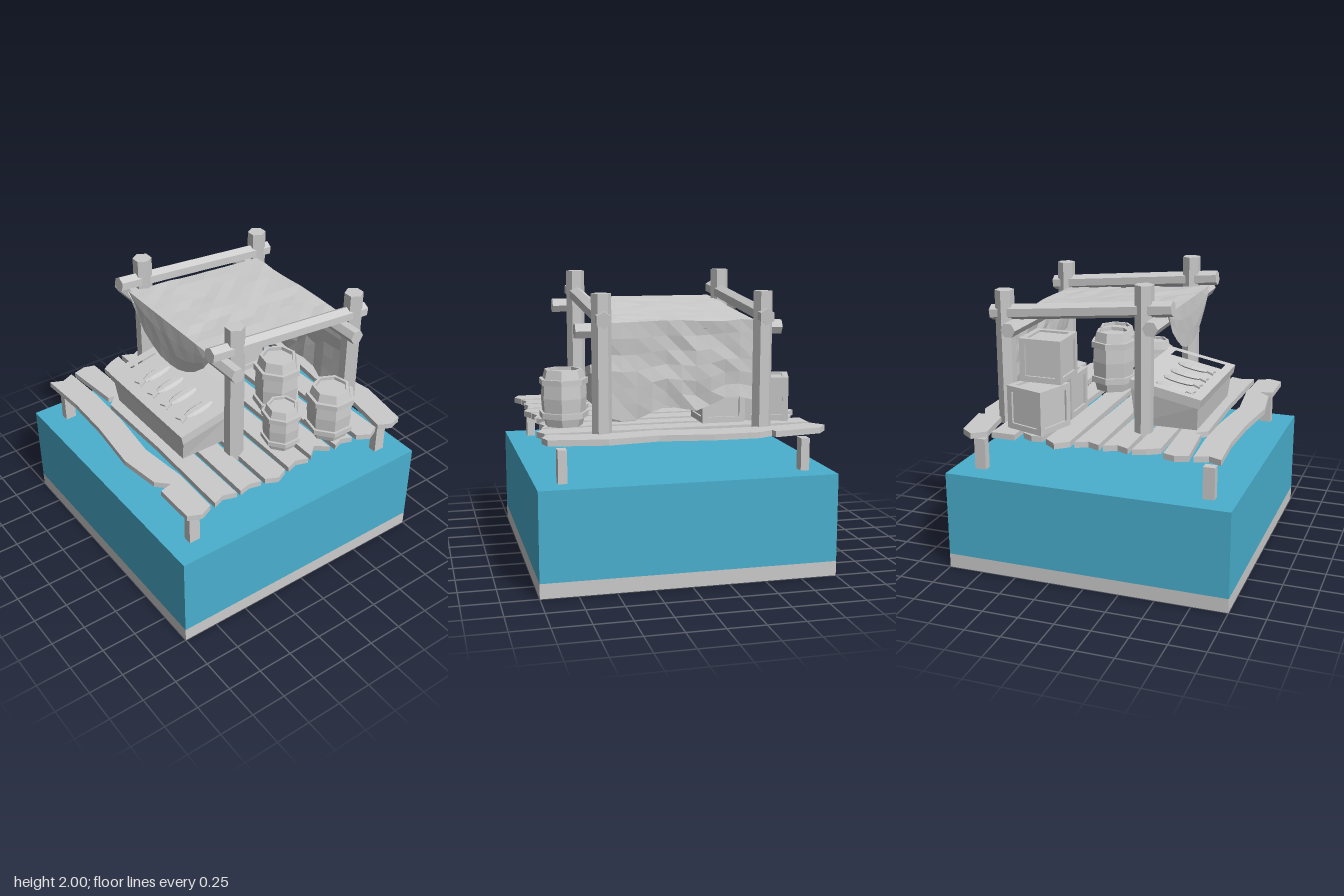
import * as THREE from 'three';

const grey = new THREE.MeshStandardMaterial({ color: 0xcccccc, flatShading: true });
const clothMat = new THREE.MeshStandardMaterial({ color: 0xcccccc, flatShading: true, side: THREE.DoubleSide });
const waterMat = new THREE.MeshStandardMaterial({ color: 0x4ab0cf });

function add(parent, name, geo, x = 0, y = 0, z = 0, mat = grey) {
  const m = new THREE.Mesh(geo, mat);
  m.name = name;
  m.position.set(x, y, z);
  parent.add(m);
  return m;
}

const box = (w, h, d) => new THREE.BoxGeometry(w, h, d);

// Flat slab from an outline of [x, z] points, resting on y = 0
function slab(points, depth, hole) {
  const toV = ([x, z]) => new THREE.Vector2(x, -z);
  const shape = new THREE.Shape(points.map(toV));
  if (hole) shape.holes.push(new THREE.Path(hole.map(toV)));
  return new THREE.ExtrudeGeometry(shape, { depth, bevelEnabled: false }).rotateX(-Math.PI / 2);
}

const rect = (w, d) => [[-w, -d], [w, -d], [w, d], [-w, d]];

// Repeatable jitter from -1 to 1
function jitter(i, j) {
  const s = Math.sin(i * 127.1 + j * 311.7) * 43758.5453;
  return 2 * (s - Math.floor(s)) - 1;
}

// Seven-sided barrel with two hoops and a sunken lid
function barrel(parent, x, z, r, h) {
  const g = new THREE.Group();
  g.name = 'barrel';
  g.position.set(x, 1, z);
  const lathe = (pts) => new THREE.LatheGeometry(
    pts.map(([a, b]) => new THREE.Vector2(a * r, b * h)), 7, -Math.PI / 2);
  add(g, 'barrelBody', lathe([[0, 0], [0.76, 0], [0.88, 0.2], [0.93, 0.5], [0.88, 0.8],
    [0.76, 1], [0.64, 1], [0.64, 0.94], [0, 0.94]]));
  for (const y of [0.15, 0.74]) {
    add(g, 'barrelHoop', lathe([[0.8, y], [1, y], [1, y + 0.1], [0.8, y + 0.1], [0.8, y]]));
  }
  parent.add(g);
}

// Crate: inset core inside twelve edge bars
function crate(parent, x, y, z, turn) {
  const g = new THREE.Group();
  g.name = 'crate';
  g.position.set(x, y + 0.15, z);
  g.rotation.y = turn;
  add(g, 'cratePanels', box(0.27, 0.27, 0.27));
  const t = 0.04, c = 0.13;
  for (const a of [-c, c]) for (const b of [-c, c]) {
    add(g, 'crateBar', box(0.3, t, t), 0, a, b);
    add(g, 'crateBar', box(t, 0.22, t), a, 0, b);
    add(g, 'crateBar', box(t, t, 0.22), a, b, 0);
  }
  parent.add(g);
}

function buildDeck(root) {
  const rough = [
    [[-0.9, -0.9], [-0.57, -0.955], [-0.56, -0.91], [-0.46, -0.96], [-0.15, -0.96], [0.2, -0.91], [0.54, -0.96],
      [0.92, -0.9], [0.945, -0.81], [0.9, -0.72], [0.55, -0.775], [0.2, -0.73], [-0.2, -0.775], [-0.58, -0.77],
      [-0.9, -0.72], [-0.97, -0.81]],
    [[-0.9, 0.52], [-0.2, 0.49], [0.2, 0.51], [0.9, 0.51], [0.87, 0.6], [0.9, 0.685], [0.2, 0.67], [-0.4, 0.68],
      [-0.47, 0.6], [-0.48, 0.65], [-0.9, 0.69], [-0.925, 0.6]],
    [[-0.9, 0.72], [-0.55, 0.7], [-0.2, 0.71], [0.18, 0.75], [0.54, 0.71], [0.9, 0.72], [0.94, 0.81], [0.9, 0.9],
      [0.6, 0.9], [0.58, 0.81], [0.5, 0.89], [0.2, 0.93], [-0.2, 0.89], [-0.55, 0.88], [-0.9, 0.9], [-0.86, 0.81]],
  ];
  rough.forEach((p) => add(root, 'plank', slab(p, 0.04), 0, 0.96, 0));
  // Straight planks: back z, front z, three x values for each end
  const straight = [
    [-0.69, -0.52, -0.9, -0.9, -0.9, 0.91, 0.95, 0.9],
    [-0.48, -0.33, -0.84, -0.88, -0.87, 0.9, 0.87, 0.9],
    [-0.29, -0.12, -0.9, -0.97, -0.9, 0.89, 0.82, 0.89],
    [-0.09, 0.08, -0.9, -0.86, -0.9, 0.9, 0.87, 0.9],
    [0.11, 0.28, -0.9, -0.86, -0.9, 0.9, 0.94, 0.9],
    [0.31, 0.48, -0.9, -0.87, -0.82, 0.9, 0.88, 0.9],
  ];
  for (const [a, b, l0, l1, l2, r0, r1, r2] of straight) {
    const m = (a + b) / 2;
    const p = [[l0, a], [0, a + 0.01], [r0, a], [r1, m], [r2, b], [0, b - 0.01], [l2, b], [l1, m]];
    add(root, 'plank', slab(p, 0.04), 0, 0.96, 0);
  }
  for (const x of [-0.82, 0.82]) for (const z of [-0.81, 0.81]) {
    add(root, 'pierLeg', box(0.06, 0.82, 0.08), x, 0.51, z);
  }
}

function buildFrame(root) {
  for (const x of [-0.545, 0.54]) {
    for (const [z, top] of [[0.27, 2], [-0.73, 1.9]]) {
      const h = top - 0.96;
      add(root, 'post', new THREE.CylinderGeometry(0.066, 0.066, h, 6).rotateY(Math.PI / 6), x, 0.96 + h / 2, z);
    }
    // Side rail sloping down to the back
    const rail = new THREE.CylinderGeometry(0.054, 0.054, 1.3, 6).rotateX(Math.PI / 2);
    add(root, 'sideRail', rail, x, 1.795, -0.18).rotation.x = -Math.atan2(0.12, 1.3);
  }
  for (const [y, z] of [[1.745, 0.36], [1.655, -0.64]]) {
    const beam = new THREE.CylinderGeometry(0.053, 0.053, 1.4, 6).rotateZ(Math.PI / 2);
    add(root, 'crossBeam', beam, 0, y, z);
  }
}

// Cloth: curved front flap, sloping roof and hanging back curtain in one sheet
function buildCloth(root) {
  const cols = 10, flap = 3, roof = 10, back = 6, rows = flap + roof + back;
  const geo = new THREE.PlaneGeometry(1, 1, cols, rows);
  const pos = geo.attributes.position;
  for (let i = 0; i < pos.count; i++) {
    const c = i % (cols + 1), r = Math.floor(i / (cols + 1));
    const x = -0.5 + c / cols;
    const n = jitter(c, r);
    let y, z;
    if (r < flap) {
      const t = 1 - r / flap;
      const drop = 0.32 * Math.pow(Math.max(0, 1 - 4 * x * x), 0.85);
      y = 1.795 - drop * t;
      z = 0.42 + 0.006 * n;
    } else if (r <= flap + roof) {
      const t = (r - flap) / roof;
      y = 1.8 - 0.09 * t + (r === flap ? 0 : 0.006 * n);
      z = 0.415 - 1.115 * t;
    } else {
      const t = (r - flap - roof) / back;
      const hem = 1.13 - 0.12 * x + 0.03 * Math.sin(x * 14);
      y = 1.71 + (hem - 1.71) * t;
      z = -0.7 + 0.014 * n;
    }
    pos.setXYZ(i, x, y, z);
  }
  geo.computeVertexNormals();
  add(root, 'canopyCloth', geo, 0, 0, 0, clothMat);
}

function buildStall(root) {
  const tilt = Math.atan2(0.1, 0.5);
  // Tapered body with a sloping top
  const body = box(1, 1, 1), p = body.attributes.position;
  for (let i = 0; i < p.count; i++) {
    const up = p.getY(i) > 0, front = p.getZ(i) > 0, side = Math.sign(p.getX(i));
    if (up) p.setXYZ(i, side * 0.445, front ? 1.175 : 1.27, front ? 0.615 : 0.14);
    else p.setXYZ(i, side * 0.41, 1, front ? 0.6 : 0.16);
  }
  body.computeVertexNormals();
  add(root, 'stallBody', body);

  const tray = new THREE.Group();
  tray.name = 'displayTray';
  tray.position.set(0, 1.215, 0.378);
  tray.rotation.x = tilt;
  add(tray, 'trayRim', slab(rect(0.46, 0.255), 0.065, rect(0.395, 0.195)));
  for (const x of [-0.25, -0.08, 0.08, 0.27]) {
    const fish = new THREE.Group();
    fish.name = 'fish';
    fish.position.set(x, 0.02, 0);
    add(fish, 'fishBody', new THREE.SphereGeometry(1, 6, 6).rotateX(Math.PI / 2).scale(0.045, 0.022, 0.12), 0, 0, -0.01);
    add(fish, 'fishTail', slab([[-0.012, 0.09], [0.012, 0.09], [0.04, 0.155], [0, 0.14], [-0.04, 0.155]], 0.014), 0, -0.007, 0);
    tray.add(fish);
  }
  root.add(tray);
}

export function createModel() {
  const root = new THREE.Group();
  root.name = 'fishStallOnPier';
  add(root, 'seabed', box(2, 0.1, 2), 0, 0.05, 0);
  add(root, 'water', box(2, 0.6, 2), 0, 0.4, 0, waterMat);
  buildDeck(root);
  buildFrame(root);
  buildCloth(root);
  buildStall(root);

  barrel(root, 0.74, -0.4, 0.17, 0.38);
  barrel(root, 0.65, -0.05, 0.14, 0.32);
  barrel(root, 0.32, -0.27, 0.17, 0.45);

  crate(root, -0.68, 1, -0.435, -0.32);
  crate(root, -0.33, 1, -0.43, 0);
  crate(root, -0.51, 1.3, -0.43, 0);
  return root;
}
